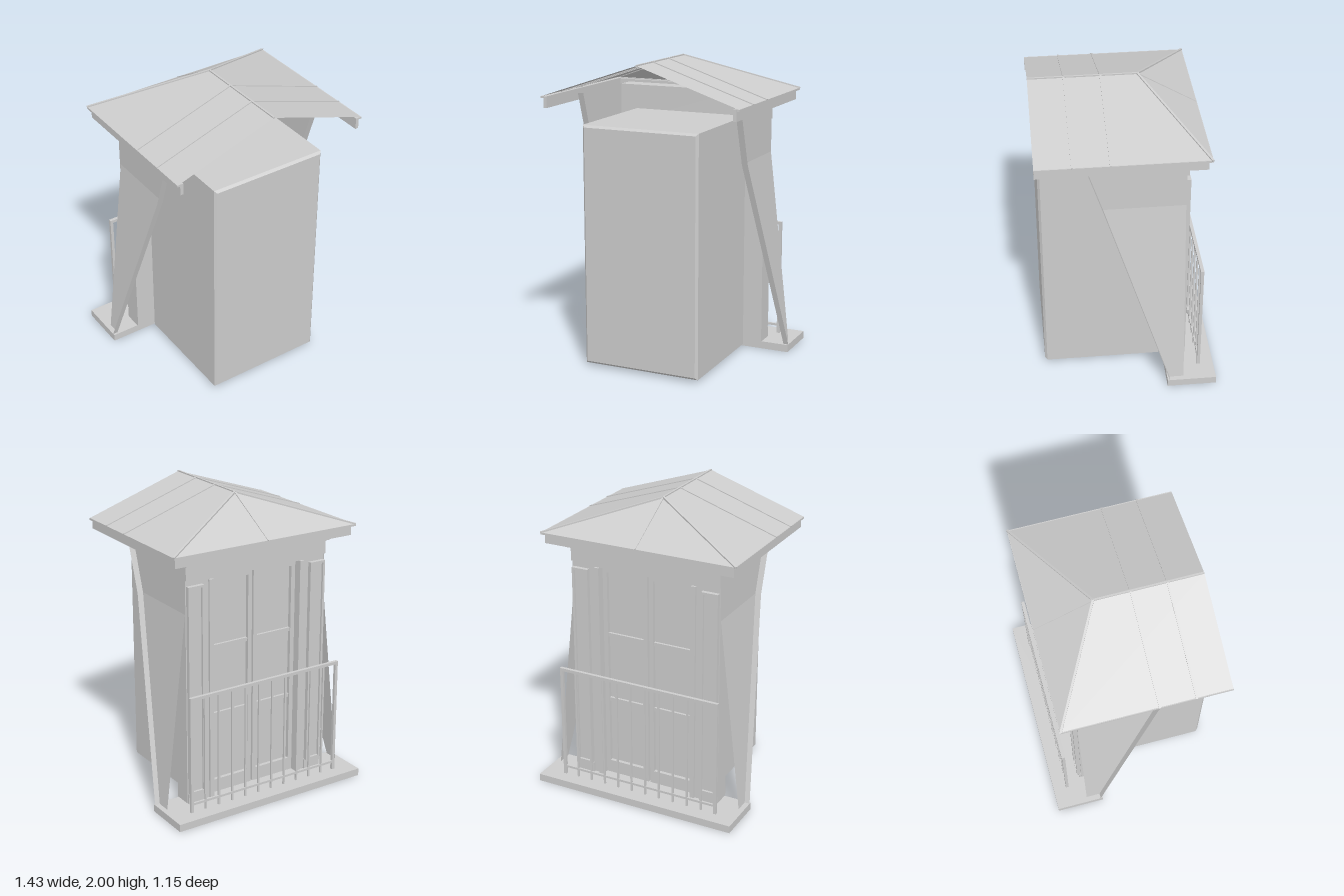
import * as THREE from 'three';

export function createModel() {
  const model = new THREE.Group();
  model.name = 'dormerBalcony';
  const grey = new THREE.MeshStandardMaterial({ color: 0xcccccc, side: THREE.DoubleSide });
  grey.name = 'plainGrey';

  const add = (name, geometry, parent = model) => {
    const mesh = new THREE.Mesh(geometry, grey);
    mesh.name = name;
    parent.add(mesh);
    return mesh;
  };
  const group = (name) => {
    const g = new THREE.Group();
    g.name = name;
    model.add(g);
    return g;
  };
  // Box given by its limits on each axis
  const block = (name, x0, x1, y0, y1, z0, z1, parent) => {
    const mesh = add(name, new THREE.BoxGeometry(Math.abs(x1 - x0), y1 - y0, z1 - z0), parent);
    mesh.position.set((x0 + x1) / 2, (y0 + y1) / 2, (z0 + z1) / 2);
    return mesh;
  };
  // Flat sheet from a convex ring of corners
  const sheet = (name, corners, parent) => {
    const pos = [];
    for (let i = 1; i < corners.length - 1; i++) pos.push(...corners[0], ...corners[i], ...corners[i + 1]);
    const geo = new THREE.BufferGeometry();
    geo.setAttribute('position', new THREE.Float32BufferAttribute(pos, 3));
    geo.computeVertexNormals();
    return add(name, geo, parent);
  };
  // Square bar between two points
  const bar = (name, a, b, width, parent) => {
    const p = new THREE.Vector3(...a), q = new THREE.Vector3(...b);
    const mesh = add(name, new THREE.BoxGeometry(width, width, p.distanceTo(q)), parent);
    mesh.position.copy(p).add(q).multiplyScalar(0.5);
    mesh.lookAt(q);
    return mesh;
  };

  // Balcony slab
  block('balconySlab', -0.715, 0.715, 0, 0.05, -0.575, -0.25);

  // Room volume with chamfered edges
  const face = new THREE.Shape([[-0.385, 0.035], [0.385, 0.035], [0.385, 1.585], [-0.385, 1.585]]
    .map(([x, y]) => new THREE.Vector2(x, y)));
  const room = add('roomVolume', new THREE.ExtrudeGeometry(face, {
    depth: 0.76, bevelEnabled: true, bevelSize: 0.015, bevelThickness: 0.015, bevelSegments: 1,
  }));
  room.position.z = -0.225;

  // Window wall: piers, pilasters and casings on both sides
  const wall = group('windowWall');
  for (const s of [-1, 1]) {
    block('pier', s * 0.33, s * 0.527, 0.05, 1.76, -0.36, -0.24, wall);
    for (const [x0, x1] of [[0.405, 0.42], [0.505, 0.52]]) {
      block('pilasterEdge', s * x0, s * x1, 0.12, 1.53, -0.388, -0.36, wall);
    }
    block('pilasterPanel', s * 0.42, s * 0.505, 0.12, 1.53, -0.372, -0.36, wall);
    for (const y of [0.12, 1.515]) block('pilasterEnd', s * 0.42, s * 0.505, y, y + 0.015, -0.388, -0.36, wall);
    block('pilasterBase', s * 0.4, s * 0.525, 0.05, 0.12, -0.375, -0.36, wall);
    block('casing', s * 0.33, s * 0.36, 0.05, 1.55, -0.375, -0.36, wall);
  }
  block('header', -0.33, 0.33, 1.55, 1.76, -0.36, -0.24, wall);
  block('frieze', -0.53, 0.53, 1.57, 1.7, -0.375, -0.36, wall);
  block('friezeMoulding', -0.54, 0.54, 1.665, 1.69, -0.4, -0.375, wall);

  // Pair of glazed door leaves
  const doors = group('balconyDoors');
  block('glass', -0.33, 0.33, 0.05, 1.55, -0.295, -0.25, doors);
  for (const s of [-1, 1]) {
    block('innerStile', s * 0.006, s * 0.035, 0.05, 1.55, -0.32, -0.295, doors);
    block('outerStile', s * 0.3, s * 0.33, 0.05, 1.55, -0.32, -0.295, doors);
    block('topRail', s * 0.035, s * 0.3, 1.51, 1.55, -0.32, -0.295, doors);
    block('bottomRail', s * 0.035, s * 0.3, 0.05, 0.14, -0.32, -0.295, doors);
    for (const y of [0.59, 1.06]) block('glazingBar', s * 0.035, s * 0.3, y, y + 0.025, -0.312, -0.295, doors);
  }

  // Flared side cheeks, each a thin panel with an outward front flange
  const frontZ = (y) => -0.265 + (y - 0.05) * 0.324;
  const levels = [[0.05, 0.68, 0.715], [1.35, 0.53, 0.57], [1.76, 0.53, 0.57]];
  for (const s of [-1, 1]) {
    const cheek = group(s > 0 ? 'leftCheek' : 'rightCheek');
    for (let i = 0; i < 2; i++) {
      const [ya, ia, oa] = levels[i], [yb, ib, ob] = levels[i + 1];
      const a = [s * ia, ya, frontZ(ya)], b = [s * ib, yb, frontZ(yb)];
      const panel = [a, [s * ia, ya, -0.36], [s * ib, yb, -0.36], b];
      const flange = [a, b, [s * ob, yb, frontZ(yb)], [s * oa, ya, frontZ(ya)]];
      sheet('cheekPanel', s > 0 ? panel : panel.reverse(), cheek);
      sheet('cheekFlange', s > 0 ? flange.reverse() : flange, cheek);
    }
  }

  // Roof: open gable at the front, hip at the balcony end
  const roof = group('roof');
  const ridgeF = [0, 1.994, 0.575], ridgeB = [0, 1.994, -0.11];
  const eave = (s, z) => [s * 0.68, 1.768, z];
  sheet('leftSlope', [ridgeF, eave(1, 0.575), eave(1, -0.49), ridgeB], roof);
  sheet('rightSlope', [ridgeF, ridgeB, eave(-1, -0.49), eave(-1, 0.575)], roof);
  sheet('hipSlope', [ridgeB, eave(1, -0.49), eave(-1, -0.49)], roof);

  // Standing seams, eaves and fascia
  bar('ridgeSeam', ridgeF, ridgeB, 0.012, roof);
  bar('hipCentreSeam', ridgeB, [0, 1.768, -0.485], 0.012, roof);
  block('backEave', -0.68, 0.68, 1.757, 1.77, -0.49, -0.475, roof);
  block('backFascia', -0.66, 0.66, 1.695, 1.765, -0.468, -0.445, roof);
  for (const s of [-1, 1]) {
    bar('hipSeam', ridgeB, eave(s, -0.487), 0.014, roof);
    for (const z of [0.12, 0.348]) bar('slopeSeam', [0, 1.994, z], eave(s, z), 0.012, roof);
    block('sideEave', s * 0.662, s * 0.68, 1.757, 1.77, -0.49, 0.575, roof);
    block('sideFascia', s * 0.638, s * 0.66, 1.695, 1.77, -0.468, 0.575, roof);
  }

  // Balcony railing
  const railing = group('railing');
  block('handrail', -0.575, 0.575, 0.825, 0.845, -0.487, -0.465, railing);
  block('lowerRail', -0.565, 0.565, 0.1, 0.115, -0.483, -0.469, railing);
  for (let i = 0; i <= 11; i++) {
    const x = -0.565 + (i * 1.13) / 11;
    const w = i % 11 === 0 ? 0.01 : 0.006;
    block(i % 11 === 0 ? 'railPost' : 'baluster', x - w, x + w, 0.05, 0.83, -0.476 - w, -0.476 + w, railing);
  }
  return model;
}
